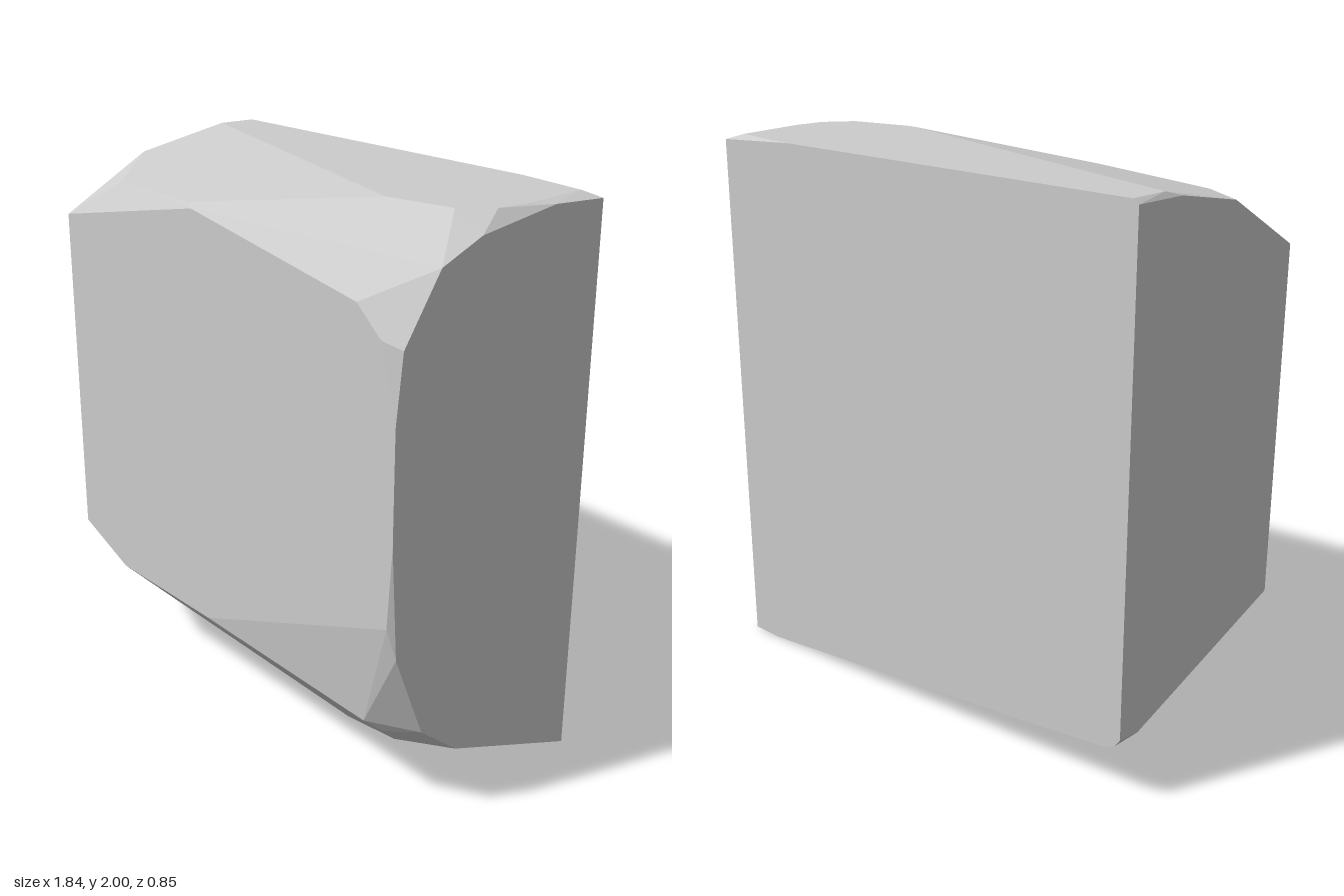
import * as THREE from 'three';
import { ConvexGeometry } from 'three/addons/geometries/ConvexGeometry.js';

// A chipped, faceted stone block: flat back and sides, bevelled top, front and underside.
export function createModel() {
  const X = 0.92, Z = 0.425;
  const stone = new THREE.MeshStandardMaterial({ color: 0xcccccc });
  stone.name = 'grey stone';
  stone.flatShading = true;

  // Flat side at +x, as [z, y]
  const leftSide = [
    [-Z, 0], [0.12, 0.2], [0.28, 0.33], [0.4, 0.64], [Z, 1.04], [Z, 1.42],
    [0.4, 1.65], [0.26, 1.87], [0.1, 1.94], [-0.21, 1.99], [-Z, 1.98],
  ].map(([z, y]) => [X, y, z]);

  // Flat side at -x, as [z, y]
  const rightSide = [
    [-Z, 0.25], [-0.33, 0.235], [Z, 0.465], [Z, 1.73], [0.08, 1.925], [-0.21, 1.98], [-Z, 1.985],
  ].map(([z, y]) => [-X, y, z]);

  // Front face, as [x, y]
  const front = [
    [-0.64, 0.365], [-0.07, 0.375], [0.9, 0.75], [0.85, 1.67], [0.74, 1.76], [-0.1, 1.89],
  ].map(([x, y]) => [x, y, Z]);

  // Level top, as [x, z]
  const top = [
    [-0.9, -Z], [0.58, -Z], [0.86, -0.39], [0.89, -0.12], [0.88, 0], [0.8, 0.1], [0.55, 0.15], [-0.905, -0.28],
  ].map(([x, z]) => [x, 2, z]);

  // Corners of the chips along the upper and lower front edges
  const chips = [
    [-0.64, 1.885, 0.36], [-0.13, 1.905, 0.41],
    [0.75, 0.33, 0.38], [0.79, 0.29, 0.33], [0.76, 0.21, 0.25],
  ];

  // Sloping underside
  const underside = [
    [-0.9, 0.22, -Z], [-0.86, 0.2, -Z], [-0.49, 0.15, -Z], [0.79, 0, -Z],
    [0.42, 0.09, 0.16], [-0.41, 0.19, 0.18], [-0.77, 0.22, 0.02],
  ];

  const points = [leftSide, rightSide, front, top, chips, underside]
    .flat().map((p) => new THREE.Vector3(...p));
  const block = new THREE.Mesh(new ConvexGeometry(points), stone);
  block.name = 'stoneBlock';

  const group = new THREE.Group();
  group.name = 'stone';
  group.add(block);
  return group;
}
